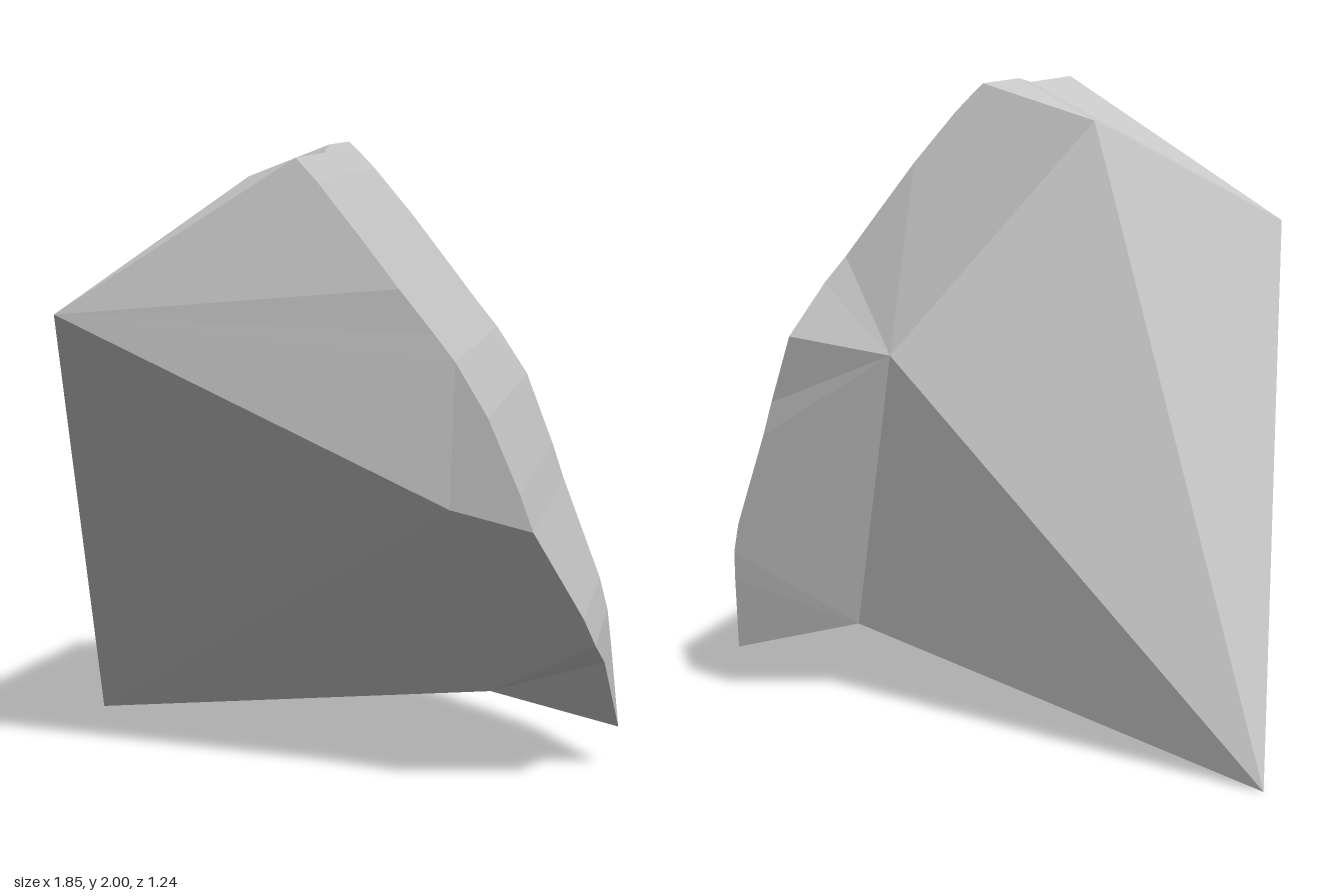
import * as THREE from 'three';

// Mesh from a list of counter-clockwise triangles
function facets(name, tris) {
  const geometry = new THREE.BufferGeometry().setFromPoints(
    tris.flat().map(([x, y, z]) => new THREE.Vector3(x, y, z)));
  geometry.computeVertexNormals();
  const material = new THREE.MeshStandardMaterial({ color: 0xcccccc, flatShading: true });
  const mesh = new THREE.Mesh(geometry, material);
  mesh.name = name;
  return mesh;
}

export function createModel() {
  // Curved outer skin, top to bottom: x, y, front z, back z
  const ribs = [
    [0, 2, -0.03, -0.38], [0.02, 1.98, 0.6, -0.385], [0.08, 1.915, 0.6, -0.4],
    [0.2, 1.765, 0.6, -0.43], [0.32, 1.61, 0.6, -0.43], [0.42, 1.48, 0.58, -0.43],
    [0.48, 1.4, 0.57, -0.455], [0.575, 1.24, 0.565, -0.51], [0.67, 1.02, 0.565, -0.435],
    [0.71, 0.91, 0.565, -0.41], [0.84, 0.6, 0.305, -0.325], [0.87, 0.5, 0.22, -0.295],
    [0.885, 0.4, 0.02, -0.26], [0.92, 0.145, -0.165, -0.165],
  ];
  const f = ribs.map(([x, y, z]) => [x, y, z]);
  const b = ribs.map(([x, y, , z]) => [x, y, z]);
  const tip = ribs.length - 1;

  // Corners of the broken faces
  const chip = [0.02, 1.98, 0.16];
  const frontPeak = [-0.7, 1.52, 0.615];
  const lowPeak = [-0.925, 0, -0.62];
  const backPeak = [-0.31, 1.89, -0.27];
  const frontInner = [0.46, 0.96, 0.52];
  const lowInner = [0.51, 0.25, -0.135];
  const backInner = [0.288, 1.18, -0.412];

  // Fans from one corner to a stretch of the skin's front or back edge
  const frontFan = (p, from, to) => f.slice(from, to).map((v, i) => [p, f[from + i + 1], v]);
  const backFan = (p, from, to) => b.slice(from, to).map((v, i) => [p, v, b[from + i + 1]]);

  // Skin strip, with its chipped top
  const skin = [[f[0], chip, b[1]], [f[0], b[1], b[0]]];
  for (let i = 1; i < tip; i++) {
    skin.push([f[i], f[i + 1], b[i + 1]]);
    if (i < tip - 1) skin.push([f[i], b[i + 1], b[i]]);
    else skin.push([f[i], b[tip], b[i]]);
  }
  skin.splice(-2, 1); // the strip ends in a single triangle

  const group = new THREE.Group();
  group.name = 'rockFragment';
  group.add(
    facets('outerSkin', skin),
    facets('topFace', [
      [frontPeak, f[1], chip], [frontPeak, chip, f[0]],
      [frontPeak, f[0], backPeak], [backPeak, f[0], b[0]],
    ]),
    facets('frontFace', [
      ...frontFan(frontPeak, 1, 6), [frontPeak, frontInner, f[6]],
      ...frontFan(frontInner, 6, 9),
    ]),
    facets('undersideFace', [
      [frontPeak, lowPeak, frontInner], [frontInner, lowPeak, lowInner],
      [frontInner, lowInner, f[9]], ...frontFan(lowInner, 9, tip),
    ]),
    facets('backFace', [
      [backInner, backPeak, b[0]], ...backFan(backInner, 0, 11),
      [backInner, b[11], lowInner], ...backFan(lowInner, 11, tip),
      [backInner, lowInner, lowPeak], [backInner, lowPeak, backPeak],
    ]),
    facets('sideFace', [[backPeak, lowPeak, frontPeak]]),
  );
  return group;
}
